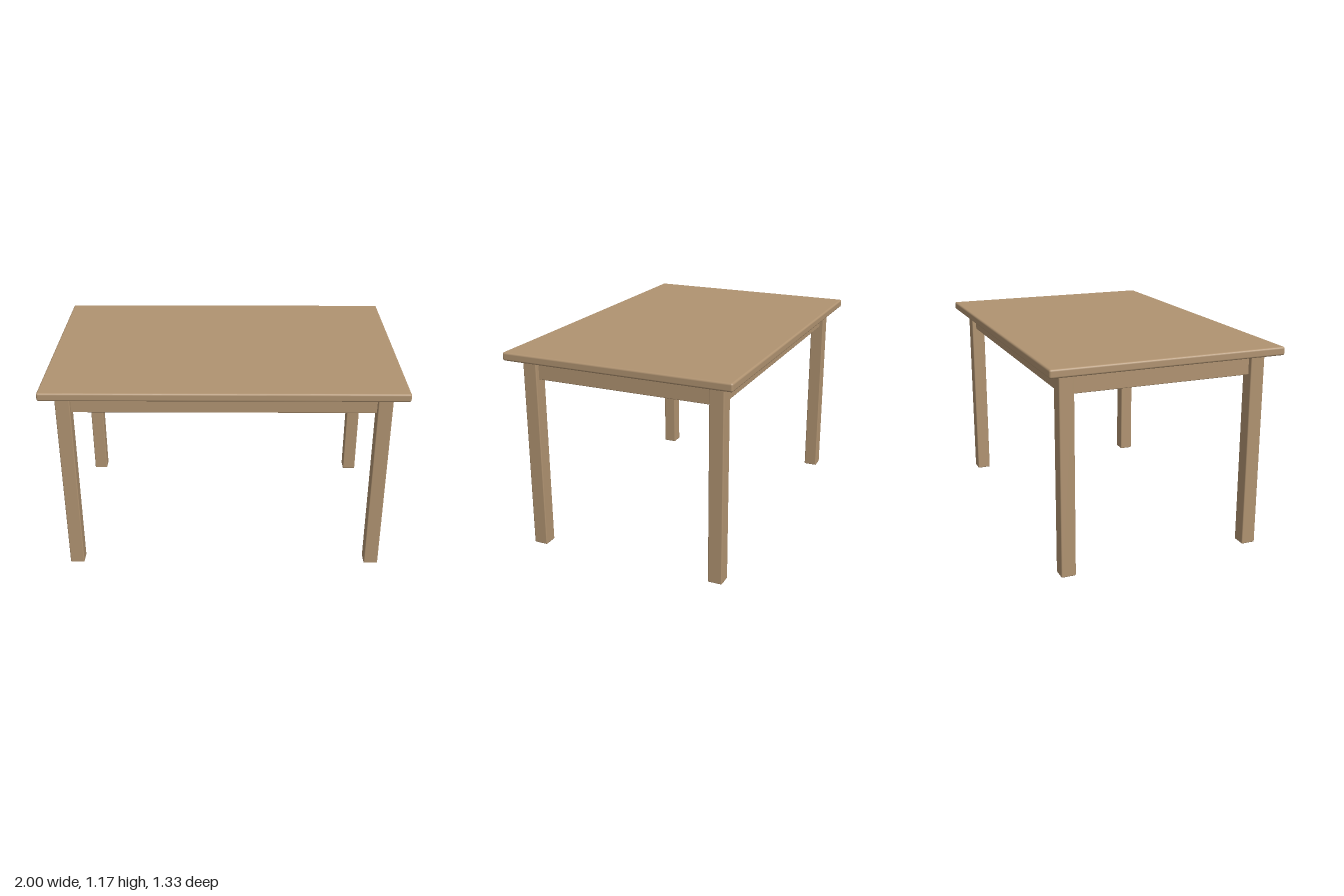
import * as THREE from 'three';
import { RoundedBoxGeometry } from 'three/addons/geometries/RoundedBoxGeometry.js';

export function createModel() {
  const table = new THREE.Group();
  table.name = 'table';
  const wood = new THREE.MeshStandardMaterial({ color: 0xb09371 });
  wood.name = 'wood';

  // Softly rounded board, placed by its centre
  function board(name, size, position, radius) {
    const mesh = new THREE.Mesh(new RoundedBoxGeometry(...size, 3, radius), wood);
    mesh.name = name;
    mesh.position.set(...position);
    table.add(mesh);
  }

  const legX = 0.88, legZ = 0.55, leg = 0.082, topY = 1.12;
  const apronY = 1.003, apronH = topY - apronY, apronT = 0.03;

  // Table top
  board('tableTop', [2, 0.047, 1.332], [0, topY + 0.0235, 0], 0.011);

  // Four square legs
  for (const sx of [-1, 1]) for (const sz of [-1, 1]) {
    const name = (sz > 0 ? 'front' : 'back') + (sx > 0 ? 'Left' : 'Right') + 'Leg';
    board(name, [leg, topY, leg], [sx * legX, topY / 2, sz * legZ], 0.006);
  }

  // Aprons centred on the legs, under the top
  for (const s of [-1, 1]) {
    board(s > 0 ? 'frontApron' : 'backApron', [2 * legX - leg + 0.01, apronH, apronT],
      [0, apronY + apronH / 2, s * legZ], 0.004);
    board(s > 0 ? 'leftApron' : 'rightApron', [apronT, apronH, 2 * legZ - leg + 0.01],
      [s * legX, apronY + apronH / 2, 0], 0.004);
  }
  return table;
}
